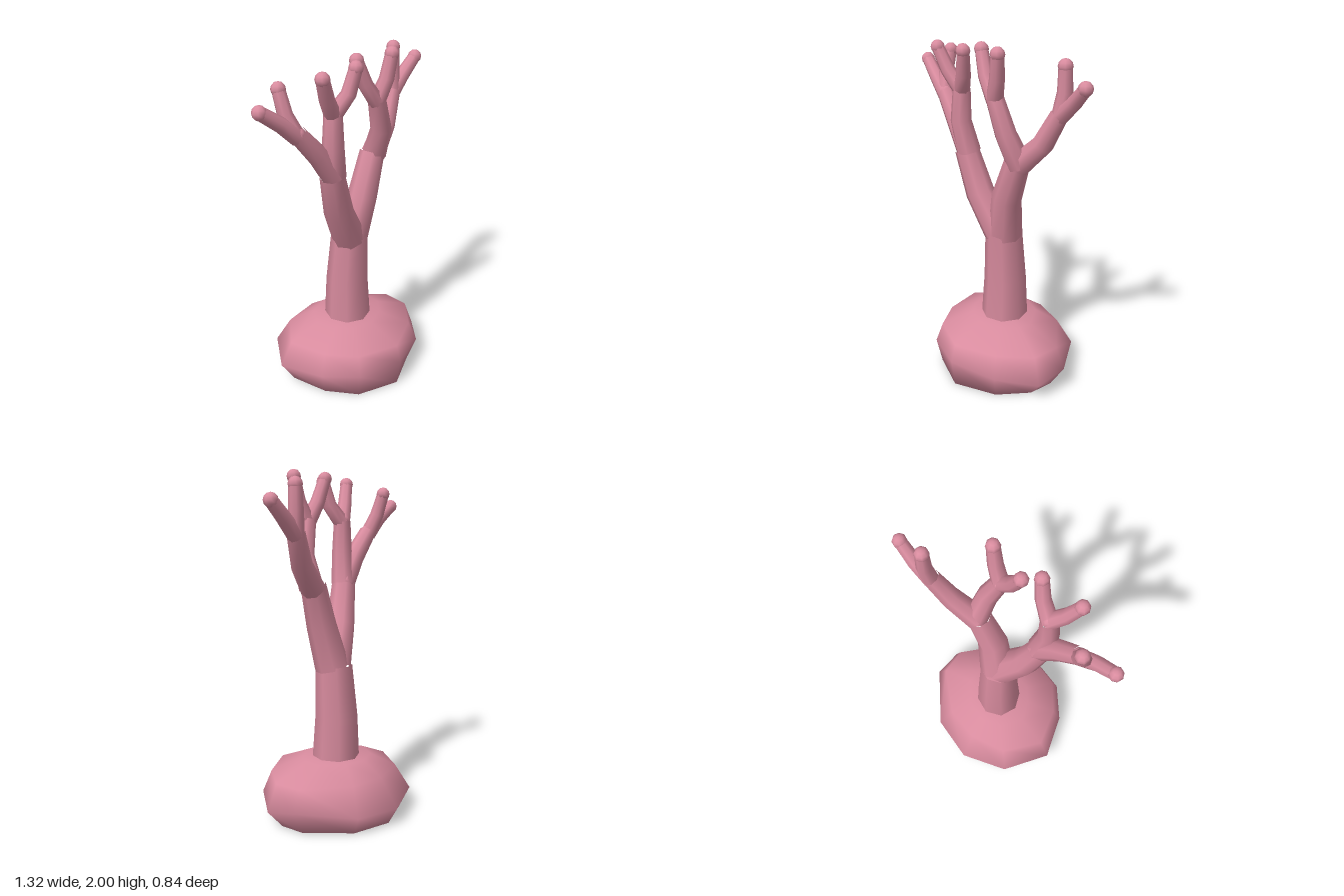
import * as THREE from 'three';

const coral = new THREE.MeshStandardMaterial({ color: 0xd98c9f });
coral.name = 'coral pink';

// Tapered, bent limb through three points
function limb(name, points, r0, r1, sides = 8) {
  const curve = new THREE.CatmullRomCurve3(points.map(p => new THREE.Vector3(...p)));
  const segs = 2;
  const geo = new THREE.TubeGeometry(curve, segs, 1, sides, false);
  const pos = geo.attributes.position;
  const v = new THREE.Vector3();
  for (let i = 0; i < pos.count; i++) {
    const t = Math.floor(i / (sides + 1)) / segs;
    const c = curve.getPointAt(t);
    v.fromBufferAttribute(pos, i).sub(c).multiplyScalar(r0 + (r1 - r0) * t).add(c);
    pos.setXYZ(i, v.x, v.y, v.z);
  }
  const mesh = new THREE.Mesh(geo, coral);
  mesh.name = name;
  return mesh;
}

function ball(name, p, r) {
  const mesh = new THREE.Mesh(new THREE.SphereGeometry(r, 8, 6), coral);
  mesh.name = name;
  mesh.position.set(...p);
  return mesh;
}

// Irregular rock lofted from scaled copies of one outline
function rock() {
  // x, z, height of the widest ring, bottom scale, shoulder scale
  const rim = [
    [0.01, -0.42, 0.10, 0.87, 0.74], [0.28, -0.34, 0.11, 0.85, 0.78],
    [0.51, -0.07, 0.15, 0.80, 0.87], [0.51, 0.12, 0.11, 0.80, 0.88],
    [0.34, 0.31, 0.14, 0.88, 0.88], [0.07, 0.42, 0.16, 0.95, 0.93],
    [-0.20, 0.35, 0.15, 0.92, 0.90], [-0.35, 0.18, 0.14, 0.88, 0.88],
    [-0.44, -0.08, 0.13, 0.82, 0.85], [-0.27, -0.33, 0.12, 0.86, 0.80],
  ];
  const n = rim.length, cx = 0.03;
  const verts = [], index = [];
  for (let r = 0; r < 4; r++) {
    for (const [x, z, h, low, high] of rim) {
      const s = [low, 1, high, 0.46][r];
      verts.push(cx + (x - cx) * s, [0, h, 0.265, 0.345][r], z * s);
    }
  }
  verts.push(cx, 0, 0, cx, 0.35, 0);
  for (let i = 0; i < n; i++) {
    const j = (i + 1) % n;
    for (let r = 0; r < 3; r++) {
      const a = r * n + i, b = r * n + j;
      index.push(a, b + n, b, a, a + n, b + n);
    }
    index.push(4 * n, i, j, 4 * n + 1, 3 * n + j, 3 * n + i);
  }
  const geo = new THREE.BufferGeometry();
  geo.setAttribute('position', new THREE.Float32BufferAttribute(verts, 3));
  geo.setIndex(index);
  geo.computeVertexNormals();
  const mesh = new THREE.Mesh(geo, coral);
  mesh.name = 'rockBase';
  return mesh;
}

export function createModel() {
  const model = new THREE.Group();
  model.name = 'coralTree';
  model.add(rock());
  model.add(limb('trunk', [[0.035, 0.28, 0], [0.035, 0.58, -0.005], [0.04, 0.89, 0.01]], 0.142, 0.108));

  // Two main forks
  model.add(limb('rightFork', [[0.025, 0.88, 0.02], [-0.115, 1.12, 0.075], [-0.185, 1.35, 0.105]], 0.1, 0.07));
  model.add(limb('leftFork', [[0.055, 0.88, 0.01], [0.11, 1.13, 0.045], [0.195, 1.37, 0.035]], 0.1, 0.072));

  // Branches, each splitting into two twigs with rounded tips
  const branches = [
    { name: 'rightOuter', path: [[-0.17, 1.34, 0.1], [-0.29, 1.5, 0.1], [-0.41, 1.635, 0.09]],
      twigs: [[[-0.50, 1.70, 0.085], [-0.625, 1.79, 0.065]], [[-0.455, 1.745, 0.05], [-0.46, 1.865, 0.012]]] },
    { name: 'rightInner', path: [[-0.17, 1.34, 0.1], [-0.2, 1.52, 0.13], [-0.195, 1.71, 0.125]],
      twigs: [[[-0.265, 1.79, 0.16], [-0.325, 1.922, 0.19]], [[-0.125, 1.79, 0.16], [-0.09, 1.937, 0.185]]] },
    { name: 'leftInner', path: [[0.21, 1.35, 0.035], [0.185, 1.53, 0.11], [0.12, 1.72, 0.135]],
      twigs: [[[0.045, 1.8, 0.13], [-0.018, 1.95, 0.116]], [[0.165, 1.81, 0.155], [0.192, 1.962, 0.17]]] },
    { name: 'leftOuter', path: [[0.205, 1.35, 0.03], [0.345, 1.49, -0.01], [0.435, 1.67, -0.045]],
      twigs: [[[0.45, 1.78, -0.06], [0.45, 1.917, -0.058]], [[0.52, 1.735, -0.05], [0.618, 1.837, -0.04]]] },
  ];
  for (const { name, path, twigs } of branches) {
    const branch = new THREE.Group();
    branch.name = name + 'Branch';
    branch.add(limb('stem', path, 0.07, 0.05));
    branch.add(ball('joint', path[2], 0.045));
    for (const [mid, tip] of twigs) {
      const [x, y, z] = path[2];
      branch.add(limb('twig', [[x, y - 0.015, z], mid, tip], 0.047, 0.036));
      branch.add(ball('tip', tip, 0.04));
    }
    model.add(branch);
  }
  return model;
}
